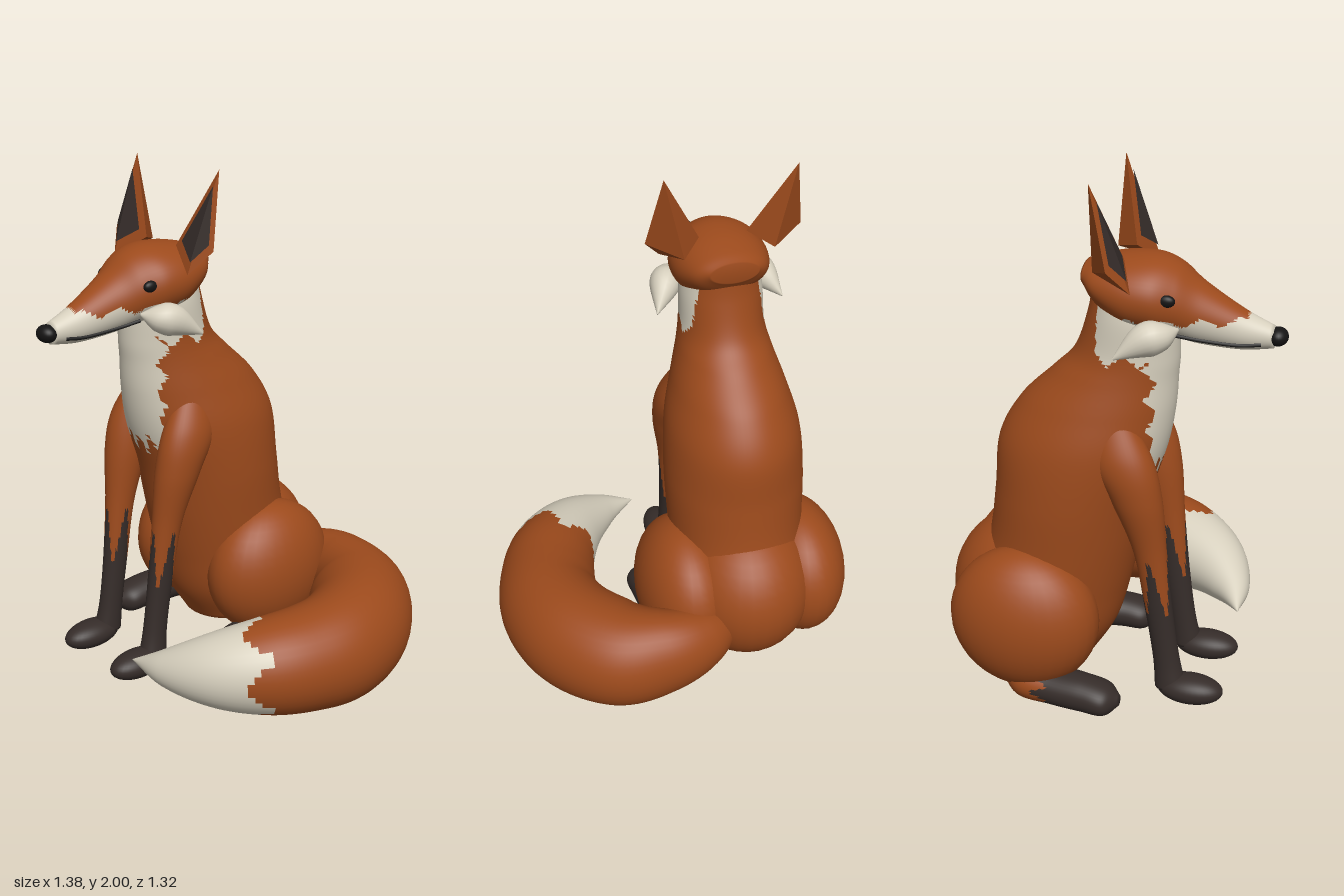
import * as THREE from 'three';

const ORANGE = 0x9c4a1c, CREAM = 0xd6cfbd, DARK = 0x352c29, BLACK = 0x151414;
const V = (x, y, z) => new THREE.Vector3(x, y, z);
const AX = { y: V(0, 1, 0), z: V(0, 0, 1) };
const mat = (color, extra = {}) => new THREE.MeshStandardMaterial({ color, ...extra });

// Triangle wave from 0 to 1, used for ragged fur borders
const zig = (u) => Math.abs((u - Math.floor(u)) - 0.5) * 2;

// Smooth body through stations [x, y, z, sideRadius, upRadius].
// Faces where paint.test(centre, angle, t) holds go to a second mesh.
function loft(name, stations, { up = AX.y, axis = null, sides = 40, segs = 48, color = ORANGE, paint = null }) {
  const path = new THREE.CatmullRomCurve3(stations.map((s) => V(s[0], s[1], s[2])), false, 'catmullrom', 0.5);
  const size = new THREE.CatmullRomCurve3(stations.map((s) => V(s[3], s[4], 0)), false, 'catmullrom', 0.5);
  const pts = [];
  for (let i = -1; i <= segs + 1; i++) {
    const t = Math.min(Math.max(i / segs, 0), 1);
    const cap = i < 0 || i > segs ? 0 : 1;
    const p = path.getPoint(t), r = size.getPoint(t);
    const tan = axis ? axis.clone() : path.getTangent(t);
    const side = up.clone().cross(tan).normalize();
    const nor = tan.clone().cross(side);
    for (let j = 0; j < sides; j++) {
      const a = (j / sides) * Math.PI * 2;
      pts.push(p.clone()
        .addScaledVector(side, Math.cos(a) * Math.max(r.x, 0.001) * cap)
        .addScaledVector(nor, Math.sin(a) * Math.max(r.y, 0.001) * cap));
    }
  }
  const base = [], marked = [];
  const add = (a, b, c, ang, t) => {
    const m = pts[a].clone().add(pts[b]).add(pts[c]).divideScalar(3);
    (paint && paint.test(m, ang, t) ? marked : base).push(a, b, c);
  };
  for (let i = 0; i < segs + 2; i++) {
    for (let j = 0; j < sides; j++) {
      const k = (j + 1) % sides, ang = (j + 0.5) / sides, t = (i - 0.5) / segs;
      const a = i * sides + j, b = i * sides + k, c = a + sides, d = b + sides;
      add(a, b, c, ang, t);
      add(b, d, c, ang, t);
    }
  }
  const whole = new THREE.BufferGeometry().setFromPoints(pts);
  whole.setIndex([...base, ...marked]);
  whole.computeVertexNormals();
  const group = new THREE.Group();
  group.name = name;
  const part = (label, index, c) => {
    if (!index.length) return;
    const g = new THREE.BufferGeometry();
    g.setAttribute('position', whole.attributes.position);
    g.setAttribute('normal', whole.attributes.normal);
    g.setIndex(index);
    const mesh = new THREE.Mesh(g, mat(c));
    mesh.name = label;
    group.add(mesh);
  };
  part(name + 'Fur', base, color);
  if (paint) part(name + 'Marking', marked, paint.color);
  return group;
}

function ball(name, [x, y, z], [rx, ry, rz], color) {
  const m = new THREE.Mesh(new THREE.SphereGeometry(1, 32, 22), mat(color));
  m.name = name;
  m.position.set(x, y, z);
  m.scale.set(rx, ry, rz);
  return m;
}

function facets(name, tris, color) {
  const g = new THREE.BufferGeometry().setFromPoints(tris.flat());
  g.computeVertexNormals();
  const m = new THREE.Mesh(g, mat(color, { flatShading: true, side: THREE.DoubleSide }));
  m.name = name;
  return m;
}

// Pointed ear with a dark hollow on its two front facets
function ear(s) {
  const g = new THREE.Group();
  g.name = 'ear';
  const tip = V(s * 0.245, 2, 0.02), outer = V(s * 0.295, 1.72, 0.09), low = V(s * 0.225, 1.63, 0.155);
  const inner = V(s * 0.09, 1.71, 0.1), back = V(s * 0.17, 1.68, 0.01);
  g.add(facets('earShell', [[tip, outer, low], [tip, low, inner], [tip, inner, back],
    [tip, back, outer], [low, outer, back], [low, back, inner]], ORANGE));
  const mid = tip.clone().lerp(low, 0.55);
  const shrink = (p) => mid.clone().lerp(p, 0.72).add(V(0, 0, 0.006));
  g.add(facets('earHollow', [[tip, outer, low], [tip, low, inner]].map((f) => f.map(shrink)), DARK));
  return g;
}

export function createModel() {
  const model = new THREE.Group();
  model.name = 'sittingFox';
  const body = new THREE.Group();
  body.name = 'body';
  body.position.x = -0.265;
  model.add(body);

  // Torso and neck with a ragged cream bib
  body.add(loft('torso', [
    [0, 0.1, -0.22, 0.18, 0.18], [0, 0.25, -0.21, 0.24, 0.26], [0, 0.42, -0.2, 0.26, 0.3],
    [0, 0.6, -0.15, 0.265, 0.29], [0, 0.8, -0.115, 0.27, 0.295], [0, 1.0, -0.075, 0.255, 0.315],
    [0, 1.15, -0.02, 0.215, 0.287], [0, 1.27, 0.045, 0.178, 0.23], [0, 1.36, 0.09, 0.16, 0.19],
    [0, 1.5, 0.11, 0.155, 0.16], [0, 1.62, 0.1, 0.13, 0.13],
  ], {
    up: AX.z, axis: AX.y, sides: 72, segs: 90,
    paint: {
      color: CREAM,
      test: (p) => (p.z > 0.1 && p.y > 0.89 + 0.1 * zig(p.x * 16) && Math.abs(p.x) < 0.115 + 0.03 * zig(p.y * 9))
        || (p.y > 1.34 + 0.05 * zig(p.z * 9) && p.z > 0.01),
    },
  }));
  body.add(ball('rump', [0, 0.36, -0.275], [0.28, 0.31, 0.32], ORANGE));

  // Head and muzzle, cream below and at the tip
  body.add(loft('head', [
    [0, 1.635, -0.055, 0.09, 0.04], [0, 1.61, 0, 0.145, 0.085], [0, 1.585, 0.1, 0.18, 0.13],
    [0, 1.575, 0.2, 0.178, 0.14], [0, 1.555, 0.28, 0.142, 0.132], [0, 1.515, 0.36, 0.105, 0.11],
    [0, 1.467, 0.5, 0.066, 0.072], [0, 1.447, 0.61, 0.038, 0.04],
  ], {
    axis: AX.z, sides: 56, segs: 64,
    paint: { color: CREAM, test: (p) => p.z > 0.52 || p.y < 1.49 + 0.035 * zig(p.z * 8) },
  }));
  body.add(ball('nose', [0, 1.45, 0.622], [0.045, 0.033, 0.036], BLACK));

  for (const s of [1, -1]) {
    const at = (list) => list.map(([x, ...rest]) => [x * s, ...rest]);

    // Face details
    body.add(ear(s));
    body.add(ball('eye', [s * 0.142, 1.59, 0.258], [0.018, 0.022, 0.032], BLACK));
    const lip = new THREE.CatmullRomCurve3([V(s * 0.042, 1.43, 0.57), V(s * 0.054, 1.425, 0.5),
      V(s * 0.078, 1.44, 0.36), V(s * 0.1, 1.457, 0.28)]);
    const mouth = new THREE.Mesh(new THREE.TubeGeometry(lip, 16, 0.008, 6), mat(BLACK));
    mouth.name = 'mouthLine';
    body.add(mouth);
    body.add(loft('cheekTuft', at([
      [0.13, 1.49, 0.3, 0.005, 0.005], [0.165, 1.475, 0.25, 0.052, 0.05],
      [0.195, 1.46, 0.19, 0.055, 0.058], [0.245, 1.405, 0.1, 0.002, 0.004],
    ]), { color: CREAM, sides: 20, segs: 16 }));

    // Front leg with a dark ragged stocking
    body.add(loft('frontLeg', at([
      [0.155, 0.08, 0.3, 0.05, 0.06], [0.15, 0.2, 0.28, 0.043, 0.05], [0.15, 0.4, 0.25, 0.045, 0.052],
      [0.155, 0.64, 0.215, 0.055, 0.062], [0.165, 0.85, 0.165, 0.08, 0.095],
      [0.165, 1.0, 0.11, 0.08, 0.115], [0.14, 1.15, 0.07, 0.05, 0.07],
    ]), {
      up: AX.z, axis: AX.y, segs: 70,
      paint: { color: DARK, test: (p, a) => p.y < 0.36 + 0.28 * zig(a * 4) },
    }));
    body.add(ball('frontPaw', [s * 0.158, 0.08, 0.375], [0.07, 0.055, 0.125], DARK));

    // Haunch and hind foot
    body.add(ball('haunch', [s * 0.235, 0.345, -0.245], [0.19, 0.28, 0.285], ORANGE));
    body.add(loft('hindFoot', at([
      [0.25, 0.13, -0.33, 0.03, 0.03], [0.27, 0.11, -0.25, 0.085, 0.075], [0.29, 0.1, -0.12, 0.085, 0.07],
      [0.305, 0.095, 0, 0.08, 0.068], [0.31, 0.085, 0.09, 0.075, 0.058], [0.31, 0.085, 0.14, 0.02, 0.02],
    ]), {
      axis: AX.z,
      paint: { color: DARK, test: (p, a) => p.z > -0.2 + 0.08 * zig(a * 7) },
    }));
  }

  // Bushy tail curling round the left side, with a cream tip
  model.add(loft('tail', [
    [-0.14, 0.3, -0.44, 0.08, 0.08], [-0.02, 0.29, -0.5, 0.12, 0.14], [0.12, 0.275, -0.515, 0.15, 0.18],
    [0.28, 0.25, -0.46, 0.2, 0.21], [0.42, 0.235, -0.32, 0.21, 0.225], [0.484, 0.225, -0.15, 0.206, 0.222],
    [0.475, 0.225, 0.01, 0.196, 0.205], [0.42, 0.225, 0.17, 0.18, 0.185], [0.31, 0.215, 0.315, 0.142, 0.145],
    [0.16, 0.195, 0.42, 0.08, 0.08], [0, 0.18, 0.475, 0.002, 0.002],
  ], {
    segs: 90,
    paint: { color: CREAM, test: (p, a, t) => t > 0.695 + 0.06 * zig(a * 5) },
  }));
  return model;
}
